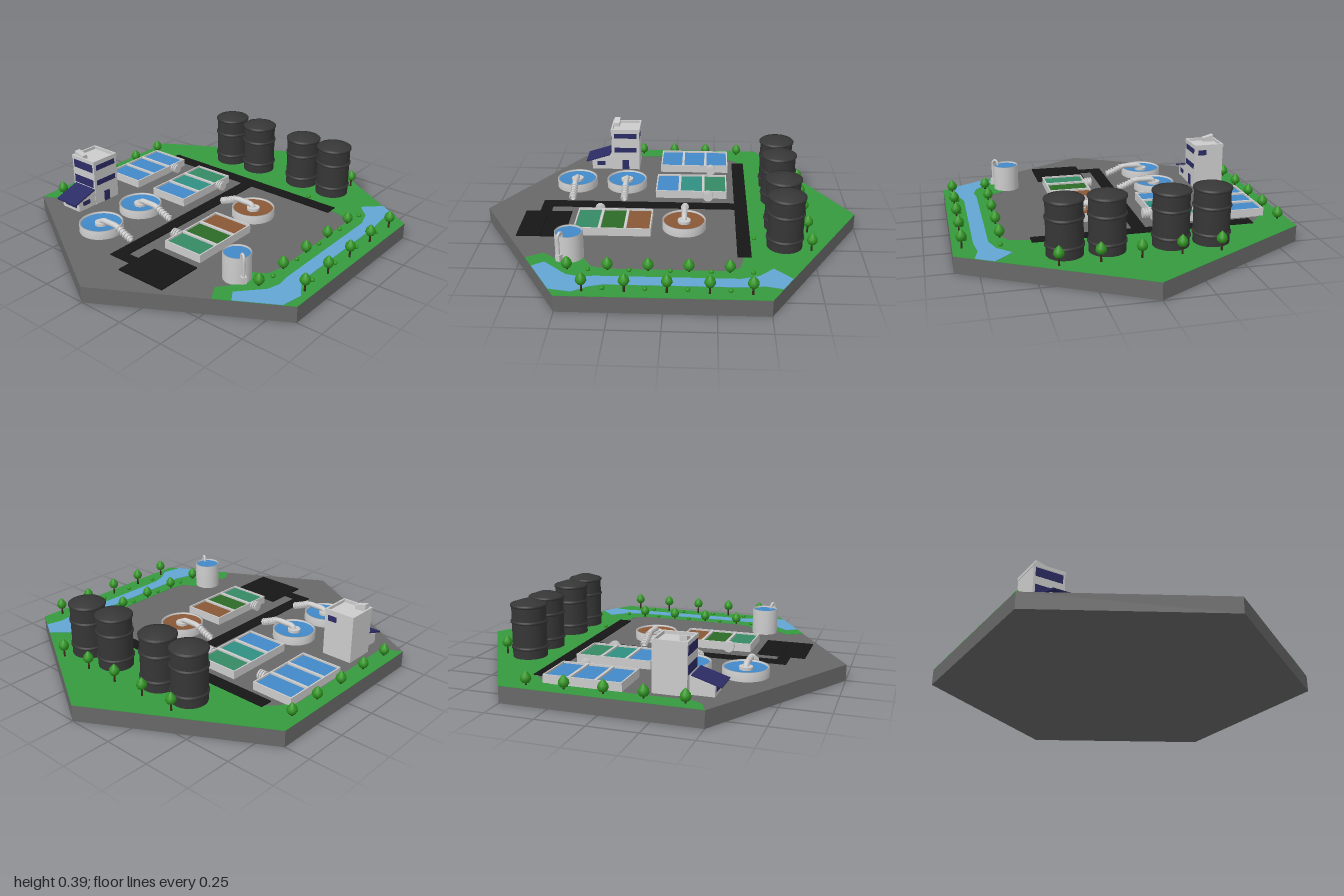
import * as THREE from 'three';

const G = 0.085; // ground level
const mats = {};
const mat = (color) => (mats[color] ??= new THREE.MeshStandardMaterial({ color, side: THREE.DoubleSide }));
const GREY = 0xcccccc, BLACK = 0x161616, BLUE = 0x4289c8, NAVY = 0x2c2c66, TANK = 0x363636;
const GREEN = 0x369a40, LEAF = 0x2f9420, BROWN = 0x8a5836, TEAL = 0x2f8f83, SEA = 0x358a66, MOSS = 0x2d6b27;

function add(parent, name, geo, color, x = 0, y = 0, z = 0) {
  const m = new THREE.Mesh(geo, mat(color));
  m.name = name;
  m.position.set(x, y, z);
  parent.add(m);
  return m;
}

function group(parent, name, x = 0, y = G, z = 0) {
  const g = new THREE.Group();
  g.name = name;
  g.position.set(x, y, z);
  parent.add(g);
  return g;
}

// Box resting on y
function box(parent, name, w, h, d, color, x, y, z) {
  return add(parent, name, new THREE.BoxGeometry(w, h, d), color, x, y + h / 2, z);
}

const toPath = (pts) => pts.map(([x, z]) => new THREE.Vector2(x, -z));

// Upright slab from an outline of [x, z] points
function slab(parent, name, pts, y, h, color, holes = []) {
  const s = new THREE.Shape(toPath(pts));
  s.holes = holes.map((p) => new THREE.Path(toPath(p)));
  const geo = new THREE.ExtrudeGeometry(s, { depth: h, bevelEnabled: false });
  geo.rotateX(-Math.PI / 2);
  return add(parent, name, geo, color, 0, y, 0);
}

const rect = (x0, x1, z0, z1) => [[x0, z0], [x1, z0], [x1, z1], [x0, z1]];
const lathe = (pts, n = 32) => new THREE.LatheGeometry(pts.map(([r, y]) => new THREE.Vector2(r, y)), n);

// Settling basin: walled frame with three cells and a short outlet pipe
function basin(parent, x, z, colors, side, pipeZ) {
  const g = group(parent, 'settlingBasin', x, G, z);
  const w = 0.115, d = 0.2, t = 0.007;
  const cells = [0, 1, 2].map((i) => {
    const z0 = -d + (i * 2 * d) / 3;
    return rect(-w + t, w - t, z0 + t, z0 + (2 * d) / 3 - t);
  });
  slab(g, 'basinWalls', rect(-w, w, -d, d), 0, 0.044, GREY, cells);
  colors.forEach((c, i) => box(g, 'basinWater', 2 * (w - t), 0.034, 0.133, c, 0, 0, (i - 1) * 0.1333));
  const pipe = add(g, 'outletPipe', new THREE.CylinderGeometry(0.02, 0.02, 0.045, 16), GREY, side * (w + 0.018), 0.024, pipeZ);
  pipe.rotation.z = Math.PI / 2;
  for (const o of [0.008, 0.022, 0.036]) {
    const ring = add(g, 'pipeRib', new THREE.CylinderGeometry(0.027, 0.027, 0.008, 16), GREY, side * (w + o), 0.027, pipeZ);
    ring.rotation.z = Math.PI / 2;
  }
}

// Round clarifier with a pipe running from its hub down to the road
function clarifier(parent, x, z, water, side) {
  const g = group(parent, 'clarifier', x, G, z);
  add(g, 'clarifierWall', lathe([[0.115, 0], [0.115, 0.046], [0.107, 0.046], [0.107, 0.03]], 40), GREY);
  add(g, 'clarifierWater', lathe([[0.108, 0.038], [0.03, 0.03], [0, 0.03]], 40), water);
  add(g, 'clarifierHub', new THREE.CylinderGeometry(0.034, 0.034, 0.02, 24), GREY, 0, 0.035, 0);
  const pts = [[0, 0.035], [0.012, 0.054], [0.06, 0.058], [0.115, 0.056], [0.16, 0.036], [0.215, 0.014]];
  const curve = new THREE.CatmullRomCurve3(pts.map(([a, b]) => new THREE.Vector3(a * side, b, 0)));
  add(g, 'feedPipe', new THREE.TubeGeometry(curve, 32, 0.015, 12), GREY);
  for (let i = 0; i < 6; i++) {
    const u = 0.6 + i * 0.075;
    const rib = add(g, 'pipeRib', new THREE.TorusGeometry(0.016, 0.005, 8, 16), GREY);
    rib.position.copy(curve.getPointAt(u));
    rib.quaternion.setFromUnitVectors(new THREE.Vector3(0, 0, 1), curve.getTangentAt(u));
  }
}

// Tall storage tank with two raised bands and a shallow domed lid
function storageTank(parent, x, z) {
  const g = group(parent, 'storageTank', x, G, z);
  add(g, 'tankBody', new THREE.CylinderGeometry(0.09, 0.09, 0.28, 32, 1, true), TANK, 0, 0.14, 0);
  for (const y of [0.055, 0.19, 0.275]) {
    add(g, 'tankBand', lathe([[0.089, -0.009], [0.096, -0.004], [0.096, 0.004], [0.089, 0.009]]), TANK, 0, y, 0);
  }
  add(g, 'tankLid', lathe([[0.096, 0.278], [0.06, 0.294], [0.03, 0.304], [0, 0.306]]), TANK);
}

function tree(parent, x, z, trunk) {
  const g = group(parent, 'tree', x, G, z);
  add(g, 'trunk', new THREE.CylinderGeometry(0.004, 0.006, trunk + 0.02, 6), 0x3a2a1c, 0, trunk / 2, 0);
  add(g, 'crown', lathe([[0, 0], [0.018, 0.003], [0.027, 0.018], [0.024, 0.034], [0.012, 0.05], [0, 0.062]], 12), LEAF, 0, trunk, 0);
}

function bush(parent, x, z) {
  const b = add(parent, 'bush', new THREE.SphereGeometry(0.012, 10, 8), LEAF, x, G + 0.008, z);
  b.scale.y = 0.9;
}

export function createModel() {
  const model = new THREE.Group();

  // Hexagonal ground with a lawn around the paved yard
  const hex = [[0, -1], [0.866, -0.5], [0.866, 0.5], [0, 1], [-0.866, 0.5], [-0.866, -0.5]];
  slab(model, 'base', hex, 0, G, 0x686868);
  slab(model, 'lawn', [[0, -1], [0.866, -0.5], [0.866, 0.5], [0.53, 0.694], [0.48, 0.61], [0.53, 0.55], [0.55, 0.47],
    [0.53, 0.4], [0.6, 0.36], [0.62, 0.28], [0.62, -0.3], [0.59, -0.36], [0.5, -0.38], [-0.66, -0.4], [-0.7, -0.37],
    [-0.765, -0.28], [-0.765, 0.42], [-0.8, 0.47], [-0.866, 0.5], [-0.866, -0.5]], G, 0.002, GREEN);
  slab(model, 'river', [[0.68, -0.607], [0.77, -0.555], [0.75, -0.47], [0.763, -0.36], [0.763, 0.28], [0.785, 0.35],
    [0.83, 0.42], [0.81, 0.532], [0.61, 0.648], [0.57, 0.59], [0.68, 0.47], [0.7, 0.4], [0.69, 0.33], [0.69, -0.36],
    [0.66, -0.45], [0.59, -0.52]], G + 0.002, 0.002, 0x62a6d2);

  // Roads and parking
  const road = group(model, 'road');
  slab(road, 'roadSurface', [[-0.665, -0.42], [0.485, -0.42], [0.485, -0.35], [-0.035, -0.35], [-0.035, 0.65],
    [0.03, 0.65], [0.03, 0.71], [-0.105, 0.71], [-0.105, -0.35], [-0.665, -0.35]], 0, 0.005, BLACK);
  for (const z of [0.597, 0.723]) box(road, 'parkingBay', 0.28, 0.006, 0.124, BLACK, 0.17, 0, z);

  // Settling basins and clarifiers
  basin(model, -0.645, -0.122, [BLUE, BLUE, BLUE], 1, -0.098);
  basin(model, -0.285, -0.11, [SEA, TEAL, BLUE], 1, -0.095);
  basin(model, 0.175, 0.29, [BROWN, MOSS, SEA], -1, 0.09);
  clarifier(model, -0.33, 0.265, BLUE, 1);
  clarifier(model, -0.33, 0.555, BLUE, 1);
  clarifier(model, 0.18, -0.08, BROWN, -1);

  // Row of storage tanks at the back
  for (const x of [-0.368, -0.163, 0.15, 0.355]) storageTank(model, x, -0.59);

  // Water tank by the river, with its overflow pipe
  const wt = group(model, 'waterTank', 0.505, G, 0.475);
  add(wt, 'waterTankWall', lathe([[0.07, 0], [0.07, 0.14], [0.065, 0.14], [0.065, 0.12]]), GREY);
  add(wt, 'waterTankWater', new THREE.CylinderGeometry(0.066, 0.066, 0.01, 32), BLUE, 0, 0.127, 0);
  const d = (r, y) => new THREE.Vector3(r * 0.87, y, r * 0.5);
  const bend = new THREE.CatmullRomCurve3([d(0.05, 0.12), d(0.052, 0.148), d(0.066, 0.161), d(0.08, 0.148), d(0.081, 0.1), d(0.081, 0.02)]);
  add(wt, 'overflowPipe', new THREE.TubeGeometry(bend, 32, 0.007, 10), GREY);
  box(wt, 'pumpBox', 0.026, 0.035, 0.026, GREY, 0.07, 0.015, 0.04).rotation.y = -0.52;

  // Control building
  const b = group(model, 'controlBuilding', -0.645, G, 0.295);
  box(b, 'walls', 0.168, 0.24, 0.168, GREY, 0, 0, 0);
  slab(b, 'parapet', rect(-0.086, 0.086, -0.086, 0.086), 0.238, 0.018, GREY, [rect(-0.076, 0.076, -0.076, 0.076)]);
  for (const y of [0.188, 0.098]) {
    box(b, 'frontWindow', 0.145, 0.046, 0.004, NAVY, 0, y, 0.084);
    box(b, 'sideWindow', 0.004, 0.03, 0.135, NAVY, 0.084, y + 0.012, 0);
  }
  box(b, 'sideDoor', 0.004, 0.06, 0.04, NAVY, 0.084, 0, 0);
  box(b, 'backWindow', 0.05, 0.03, 0.004, NAVY, 0.04, 0.195, -0.084);
  // Wedge-shaped roof hatch
  const wedge = new THREE.ExtrudeGeometry(
    new THREE.Shape([[-0.07, 0.24], [-0.01, 0.24], [-0.01, 0.262], [-0.07, 0.279]].map(([x, y]) => new THREE.Vector2(x, y))),
    { depth: 0.034, bevelEnabled: false });
  add(b, 'roofHatch', wedge, GREY, 0, 0, 0.042);

  // Entrance annex with sloping roof
  const annexSide = new THREE.Shape([[0, 0], [0.12, 0], [0.12, 0.052], [0, 0.09]].map(([x, y]) => new THREE.Vector2(x, y)));
  const annexGeo = new THREE.ExtrudeGeometry(annexSide, { depth: 0.13, bevelEnabled: false });
  annexGeo.rotateY(-Math.PI / 2);
  add(b, 'annexWalls', annexGeo, GREY, 0.081, 0, 0.084);
  box(b, 'annexRoof', 0.148, 0.008, 0.15, NAVY, 0.017, 0.07, 0.166).rotation.x = 0.306;
  box(b, 'annexWindow', 0.09, 0.025, 0.004, NAVY, 0.017, 0.018, 0.204);
  box(b, 'annexSideWindow', 0.004, 0.025, 0.05, NAVY, 0.081, 0.025, 0.15);

  // Trees and bushes
  for (let i = 0; i < 5; i++) {
    tree(model, -0.812, -0.383 + i * 0.195, 0.012);
    tree(model, 0.63, -0.31 + i * 0.195, 0.012);
    tree(model, 0.82, -0.41 + i * 0.196, 0.04);
    tree(model, -0.375 + i * 0.195, -0.72, 0.04);
    bush(model, 0.637, -0.42 + i * 0.197);
    if (i < 4) bush(model, 0.8, -0.31 + i * 0.197);
  }
  bush(model, 0.3, -0.44);

  return model;
}
